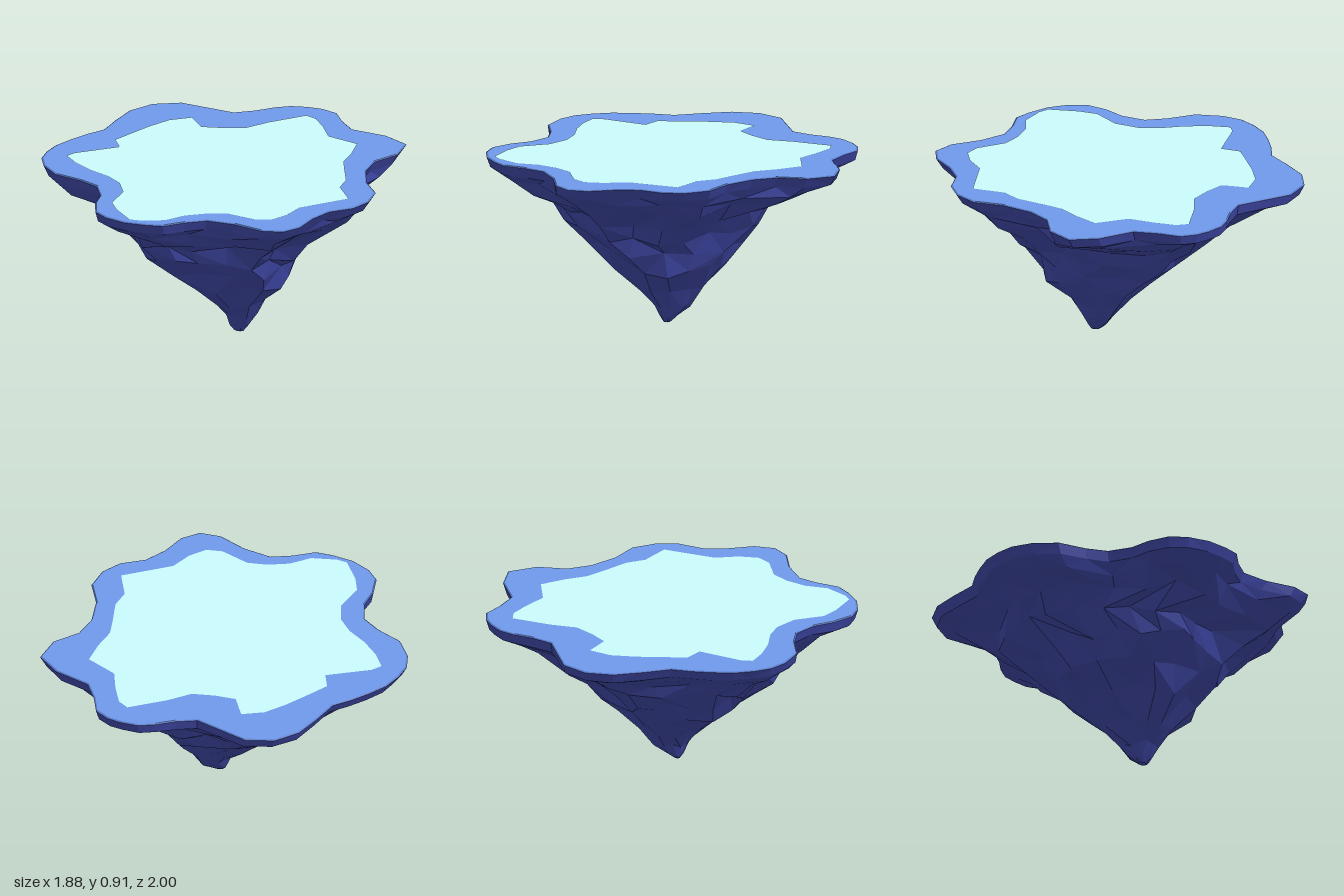
import * as THREE from 'three';

// Plateau outline and lighter inner patch, as x, z pairs
const OUTLINE = [
  0.08, -1, 0.17, -0.98, 0.25, -0.89, 0.36, -0.8, 0.57, -0.8, 0.72, -0.74, 0.75, -0.58, 0.69, -0.43,
  0.71, -0.29, 0.79, -0.14, 0.91, -0.02, 0.94, 0.12, 0.91, 0.24, 0.82, 0.35, 0.79, 0.48, 0.79, 0.63,
  0.74, 0.73, 0.63, 0.77, 0.46, 0.75, 0.3, 0.77, 0.21, 0.85, 0.13, 0.95, 0.04, 0.98, -0.08, 1,
  -0.2, 0.98, -0.29, 0.93, -0.35, 0.82, -0.38, 0.7, -0.46, 0.59, -0.58, 0.55, -0.74, 0.53, -0.86, 0.44,
  -0.92, 0.35, -0.94, 0.25, -0.94, 0.14, -0.91, 0.03, -0.87, -0.08, -0.82, -0.18, -0.83, -0.34, -0.83, -0.5,
  -0.77, -0.64, -0.64, -0.73, -0.48, -0.73, -0.32, -0.73, -0.23, -0.81, -0.16, -0.9, -0.09, -0.96, 0, -0.99];
const PATCH = [
  0.05, -0.86, 0.12, -0.84, 0.21, -0.75, 0.3, -0.64, 0.49, -0.61, 0.53, -0.47, 0.55, -0.34, 0.6, -0.25,
  0.69, -0.1, 0.71, 0.01, 0.83, 0.14, 0.66, 0.38, 0.65, 0.51, 0.61, 0.61, 0.53, 0.65, 0.36, 0.64,
  0.26, 0.69, 0.17, 0.77, 0.11, 0.88, -0.01, 0.95, -0.07, 0.96, -0.2, 0.86, -0.27, 0.78, -0.29, 0.61,
  -0.37, 0.5, -0.47, 0.44, -0.6, 0.4, -0.72, 0.34, -0.81, 0.27, -0.79, 0.21, -0.62, 0.02, -0.69, -0.06,
  -0.66, -0.18, -0.62, -0.33, -0.57, -0.46, -0.48, -0.55, -0.37, -0.45, -0.26, -0.49, -0.15, -0.55,
  -0.08, -0.68, 0, -0.79];

// Rock cross-sections: y, xMin, xMax, zMin, zMax, roundness, roughness, vertex step
const RINGS = [
  [0.905, -0.94, 0.94, -1, 1, 0, 0, 1],
  [0.85, -0.91, 0.9, -0.985, 0.985, 0, 0.005, 1],
  [0.8, -0.83, 0.84, -0.88, 0.92, 0.03, 0.025, 2],
  [0.735, -0.71, 0.75, -0.75, 0.79, 0.1, 0.05, 2],
  [0.645, -0.66, 0.58, -0.58, 0.63, 0.2, 0.06, 2],
  [0.54, -0.5, 0.51, -0.48, 0.58, 0.32, 0.06, 2],
  [0.43, -0.4, 0.45, -0.39, 0.46, 0.42, 0.06, 3],
  [0.33, -0.24, 0.41, -0.27, 0.34, 0.55, 0.06, 3],
  [0.21, -0.08, 0.27, -0.17, 0.21, 0.7, 0.05, 4],
  [0.1, 0.03, 0.21, -0.075, 0.13, 0.85, 0.04, 4],
  [0.03, 0.06, 0.17, 0, 0.09, 1, 0, 6],
  [0.005, 0.09, 0.15, 0.035, 0.075, 1, 0, 6]];

// Level ring of points from x, z pairs
const levelRing = (flat, y, scale = 1) => Array.from({ length: flat.length / 2 },
  (_, i) => new THREE.Vector3(flat[2 * i] * scale, y, flat[2 * i + 1] * scale));

// Ring collapsed to one shared point, used to close a loft
const pole = (count, x, y, z) => Array(count).fill(new THREE.Vector3(x, y, z));

function seeded(seed) {
  return () => (seed = (seed * 16807) % 2147483647) / 2147483647;
}

// Skin between rings of equal slot count; merged slots give no triangle
function loft(rings) {
  const pos = [];
  const tri = (a, b, c) => {
    if (a === b || b === c || a === c) return;
    pos.push(...a.toArray(), ...b.toArray(), ...c.toArray());
  };
  for (let r = 0; r < rings.length - 1; r++) {
    const up = rings[r], low = rings[r + 1], n = up.length;
    for (let j = 0; j < n; j++) {
      const k = (j + 1) % n;
      // Alternating diagonals break up the facets
      if ((j + r) % 2) { tri(up[j], up[k], low[j]); tri(up[k], low[k], low[j]); }
      else { tri(up[j], up[k], low[k]); tri(up[j], low[k], low[j]); }
    }
  }
  const g = new THREE.BufferGeometry();
  g.setAttribute('position', new THREE.Float32BufferAttribute(pos, 3));
  g.computeVertexNormals();
  return g;
}

// Rough rings blending from the lobed outline to a round tip
function rockRings() {
  const rand = seeded(4711);
  return RINGS.map(([y, x0, x1, z0, z1, round, rough, step]) => {
    const ring = [];
    levelRing(OUTLINE, 0).forEach((p, j) => {
      if (j % step) { ring.push(ring[j - 1]); return; }
      const u = new THREE.Vector2(p.x / 0.94, p.z);
      u.lerp(u.clone().setLength(0.96), round);
      // Fuller towards the front left corner, leaner at the back right
      const lean = 1 + 0.25 * round * (u.x + u.y) * Math.abs(u.x * u.y);
      u.multiplyScalar(lean * (1 + (rand() - 0.48) * 2 * rough));
      ring.push(new THREE.Vector3(
        (x0 + x1) / 2 + u.x * (x1 - x0) / 2,
        y + (rand() - 0.5) * rough,
        (z0 + z1) / 2 + u.y * (z1 - z0) / 2));
    });
    return ring;
  });
}

export function createModel() {
  const group = new THREE.Group();
  const add = (name, rings, color) => {
    const mesh = new THREE.Mesh(loft(rings),
      new THREE.MeshStandardMaterial({ color, flatShading: true, side: THREE.DoubleSide }));
    mesh.name = name;
    group.add(mesh);
  };

  // Craggy underside tapering to an off-centre tip
  const rock = rockRings();
  add('rock', [...rock, pole(rock[0].length, 0.12, 0, 0.055)], 0x3c449f);

  // Thin bevelled edge of the plateau
  const edge = levelRing(OUTLINE, 0.91, 0.99);
  add('plateauEdge', [edge, rock[0]], 0x5a7cc8);

  // Flat plateau with the lighter patch lying on it
  add('plateauTop', [pole(edge.length, 0, 0.91, 0), edge], 0x6f99ea);
  const patch = levelRing(PATCH, 0.913);
  add('plateauPatch', [pole(patch.length, 0, 0.913, 0), patch], 0xcafafc);
  return group;
}
